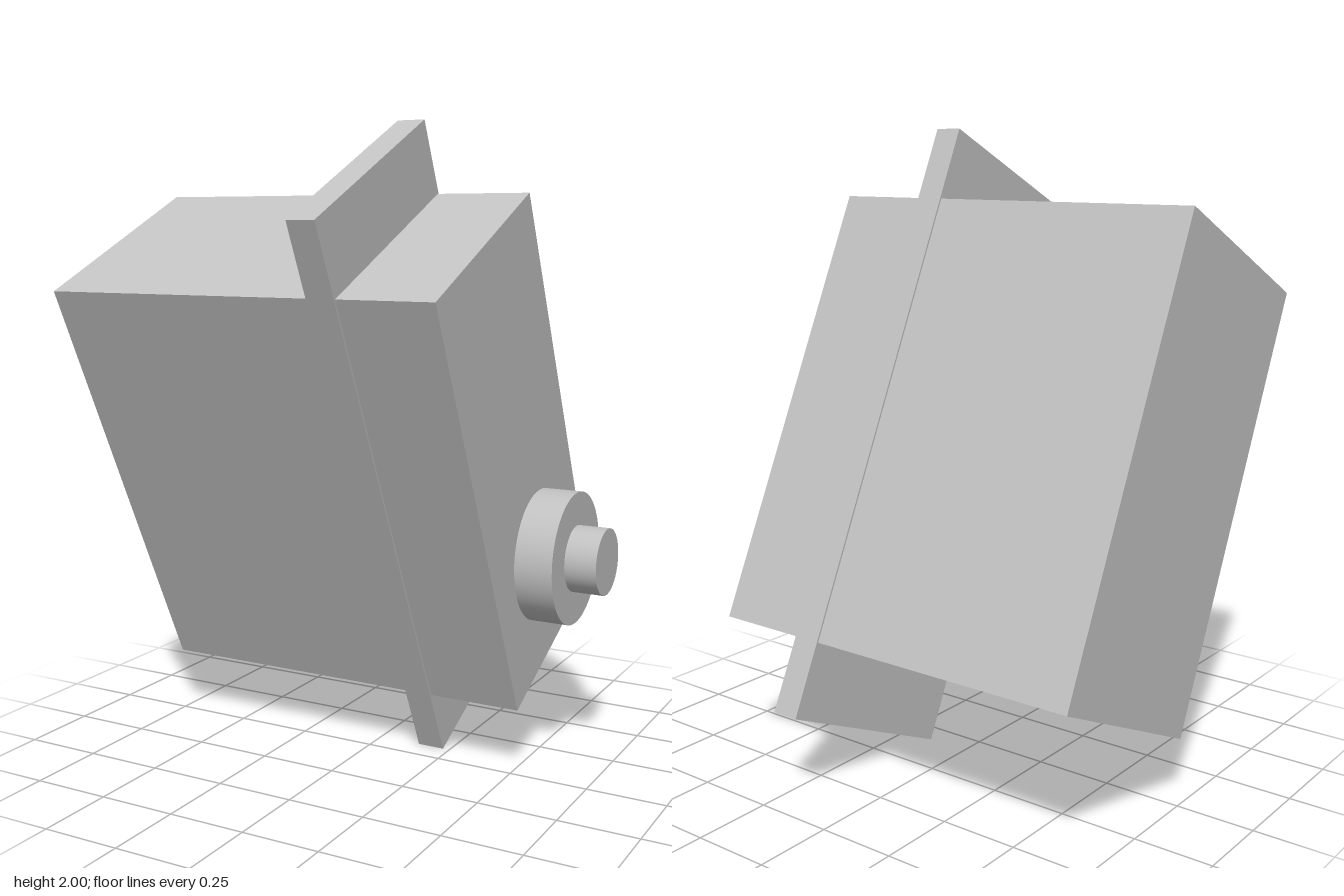
import * as THREE from 'three';

export function createModel() {
  const model = new THREE.Group();
  model.name = 'servoMotor';
  const grey = new THREE.MeshStandardMaterial({ color: 0xc0c0c0 });
  grey.name = 'lightGrey';

  // Adds a part spanning x0..x1 along the shaft direction
  const add = (name, geometry, x0, x1, y = 0) => {
    const mesh = new THREE.Mesh(geometry, grey);
    mesh.name = name;
    mesh.position.set((x0 + x1) / 2, y, 0);
    model.add(mesh);
  };
  const box = (name, x0, x1, height, depth) =>
    add(name, new THREE.BoxGeometry(x1 - x0, height, depth), x0, x1);
  const disc = (name, x0, x1, radius) =>
    add(name, new THREE.CylinderGeometry(radius, radius, x1 - x0, 64).rotateZ(-Math.PI / 2), x0, x1, -0.358);

  // Case and mounting flange
  box('case', -0.747, 0.525, 1.416, 0.684);
  box('mountingFlange', 0.14, 0.228, 1.881, 0.695);

  // Stepped output shaft, offset towards the lower end
  disc('shaftCollar', 0.525, 0.645, 0.208);
  disc('outputShaft', 0.645, 0.745, 0.104);

  // The whole unit leans forward
  model.rotation.x = THREE.MathUtils.degToRad(25);
  model.position.y = 1;

  const root = new THREE.Group();
  root.name = 'tiltedServo';
  root.add(model);
  return root;
}
